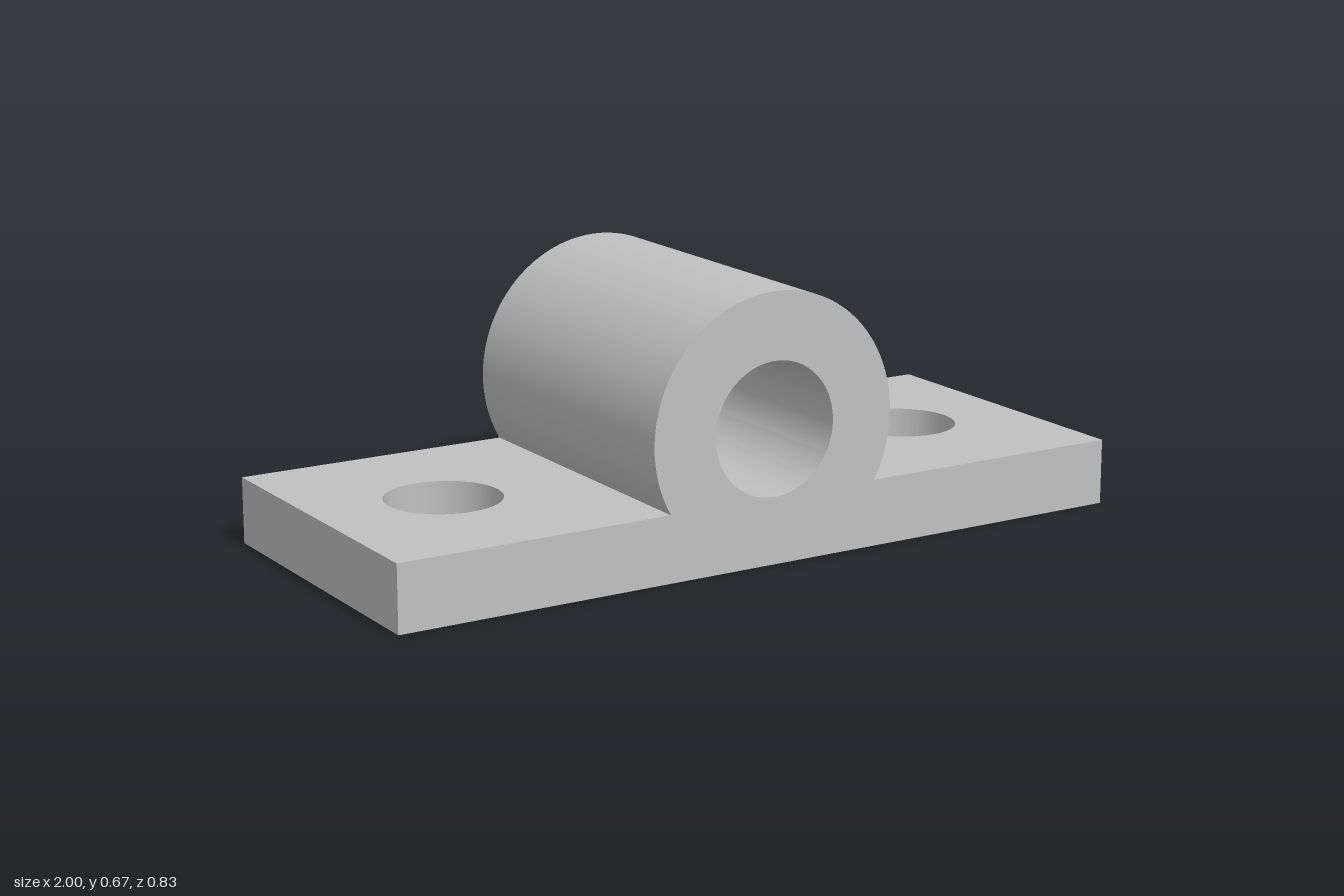
import * as THREE from 'three';
import { toCreasedNormals } from 'three/addons/utils/BufferGeometryUtils.js';

const LENGTH = 2, DEPTH = 0.831, THICK = 1 / 6;
const BARREL_R = 1 / 3, BORE_R = 0.166, BARREL_Y = 1 / 3;
const BOLT_X = 0.667, BOLT_R = 0.144;

function circleHole(x, y, r) {
  const hole = new THREE.Path();
  hole.absarc(x, y, r, 0, Math.PI * 2, true);
  return hole;
}

// Extrude with smooth curved walls and sharp edges
function extrude(shape, depth) {
  const geometry = new THREE.ExtrudeGeometry(shape, { depth, bevelEnabled: false, curveSegments: 48 });
  return toCreasedNormals(geometry, 0.5);
}

function part(name, geometry, material) {
  const mesh = new THREE.Mesh(geometry, material);
  mesh.name = name;
  return mesh;
}

export function createModel() {
  const group = new THREE.Group();
  group.name = 'bearingBlock';
  const metal = new THREE.MeshStandardMaterial({ color: 0xc0c0c0 });
  metal.name = 'grey metal';

  // Base plate, drawn in plan, with two bolt holes
  const w = LENGTH / 2, d = DEPTH / 2;
  const plan = new THREE.Shape([
    new THREE.Vector2(-w, -d), new THREE.Vector2(w, -d),
    new THREE.Vector2(w, d), new THREE.Vector2(-w, d),
  ]);
  for (const side of [-1, 1]) plan.holes.push(circleHole(side * BOLT_X, 0, BOLT_R));
  const plate = extrude(plan, THICK);
  plate.rotateX(-Math.PI / 2);
  group.add(part('basePlate', plate, metal));

  // Barrel, cut off where it meets the plate, with a through bore
  const cut = Math.asin((BARREL_Y - THICK) / BARREL_R);
  const profile = new THREE.Shape();
  profile.absarc(0, BARREL_Y, BARREL_R, -cut, Math.PI + cut, false);
  profile.closePath();
  profile.holes.push(circleHole(0, BARREL_Y, BORE_R));
  const barrel = extrude(profile, DEPTH);
  barrel.translate(0, 0, -d);
  group.add(part('barrel', barrel, metal));

  return group;
}
